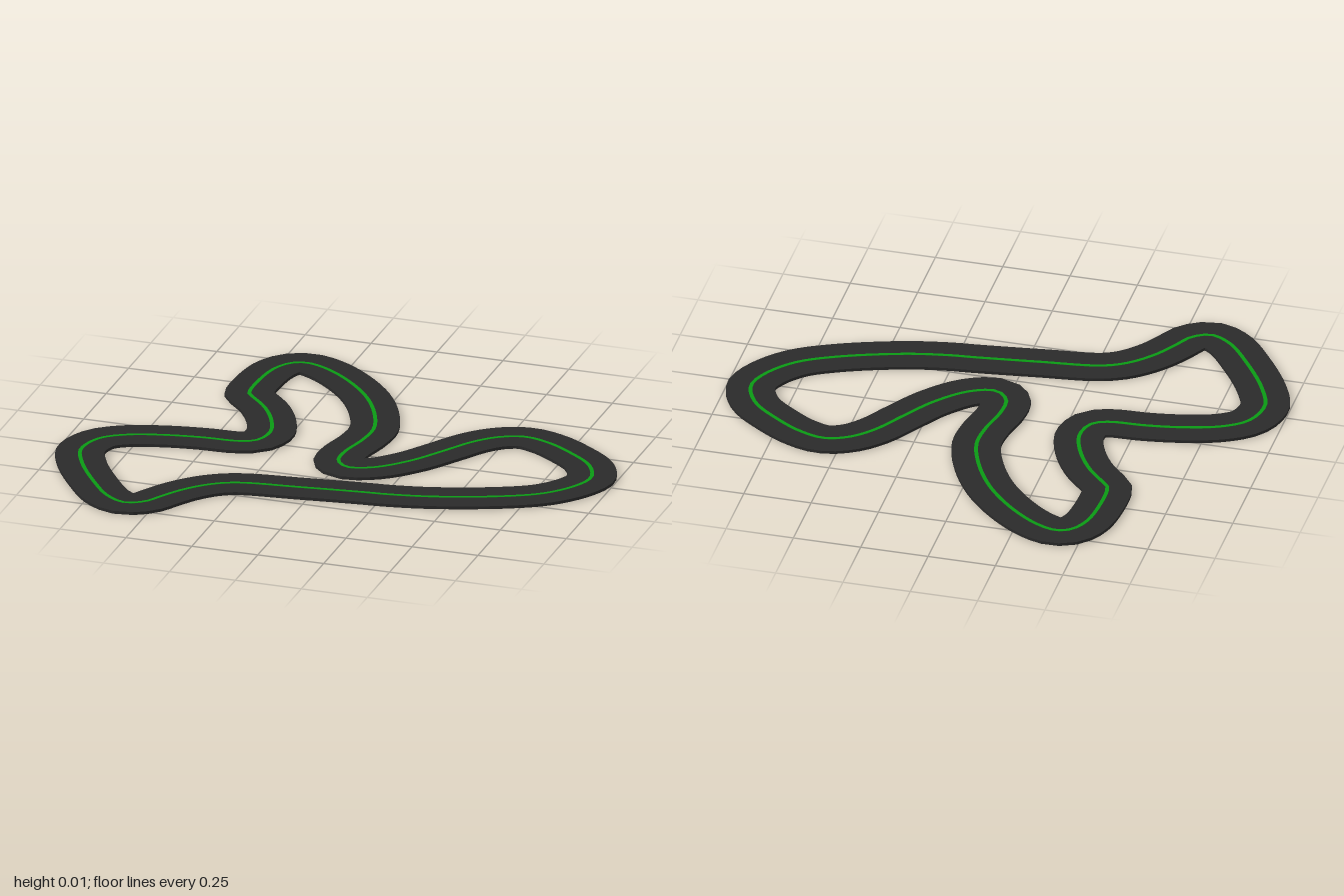
import * as THREE from 'three';

// Centre line of the circuit as x, z pairs
const ROUTE = [
  -0.505, -0.39, -0.51, -0.535, -0.49, -0.65, -0.45, -0.71, -0.4, -0.727, -0.32, -0.7,
  -0.21, -0.62, -0.1, -0.5, -0.02, -0.36, 0.025, -0.22, 0.02, -0.11, -0.005, 0.015,
  0, 0.1, 0.05, 0.147, 0.14, 0.12, 0.245, 0.02, 0.325, -0.1, 0.405, -0.225,
  0.48, -0.295, 0.565, -0.325, 0.66, -0.3, 0.76, -0.24, 0.865, -0.15, 0.91, -0.04,
  0.885, 0.045, 0.8, 0.15, 0.67, 0.225, 0.43, 0.31, 0.27, 0.342, 0.19, 0.35,
  -0.05, 0.38, -0.275, 0.412, -0.36, 0.455, -0.44, 0.535, -0.495, 0.62, -0.535, 0.685,
  -0.6, 0.717, -0.675, 0.68, -0.77, 0.565, -0.87, 0.405, -0.91, 0.29, -0.88, 0.18,
  -0.8, 0.118, -0.665, 0.075, -0.53, 0.053, -0.395, 0.043, -0.34, 0.015, -0.317, -0.065,
  -0.345, -0.17, -0.41, -0.285, -0.48, -0.362,
];
const SEGMENTS = 200;

// Sweeps a flat rectangular section round the closed route
function sweepBand(curve, halfWidth, bottom, top) {
  const section = [[-halfWidth, bottom], [halfWidth, bottom], [halfWidth, top], [-halfWidth, top]];
  const positions = [];
  const indices = [];
  for (let i = 0; i < SEGMENTS; i++) {
    const p = curve.getPointAt(i / SEGMENTS);
    const t = curve.getTangentAt(i / SEGMENTS);
    for (const [side, y] of section) positions.push(p.x - t.z * side, y, p.z + t.x * side);
    const next = (i + 1) % SEGMENTS;
    for (let k = 0; k < 4; k++) {
      const a = i * 4 + k, b = i * 4 + (k + 1) % 4;
      const a2 = next * 4 + k, b2 = next * 4 + (k + 1) % 4;
      indices.push(a, a2, b, b, a2, b2);
    }
  }
  const indexed = new THREE.BufferGeometry();
  indexed.setAttribute('position', new THREE.Float32BufferAttribute(positions, 3));
  indexed.setIndex(indices);
  const geometry = indexed.toNonIndexed();
  geometry.computeVertexNormals();
  return geometry;
}

export function createModel() {
  const group = new THREE.Group();
  group.name = 'raceTrack';

  const points = [];
  for (let i = 0; i < ROUTE.length; i += 2) points.push(new THREE.Vector3(ROUTE[i], 0, ROUTE[i + 1]));
  const curve = new THREE.CatmullRomCurve3(points, true, 'centripetal');
  curve.arcLengthDivisions = 1000;

  const addBand = (name, color, halfWidth, bottom, top) => {
    // Double sided because the band folds over itself inside the tight bends
    const material = new THREE.MeshStandardMaterial({ color, side: THREE.DoubleSide });
    const mesh = new THREE.Mesh(sweepBand(curve, halfWidth, bottom, top), material);
    mesh.name = name;
    group.add(mesh);
  };

  // Dark road slab, and the green line that shows on both its faces
  addBand('road', 0x2a2a2a, 0.089, 0.001, 0.012);
  addBand('centreLine', 0x0a9a14, 0.007, 0, 0.013);
  return group;
}
